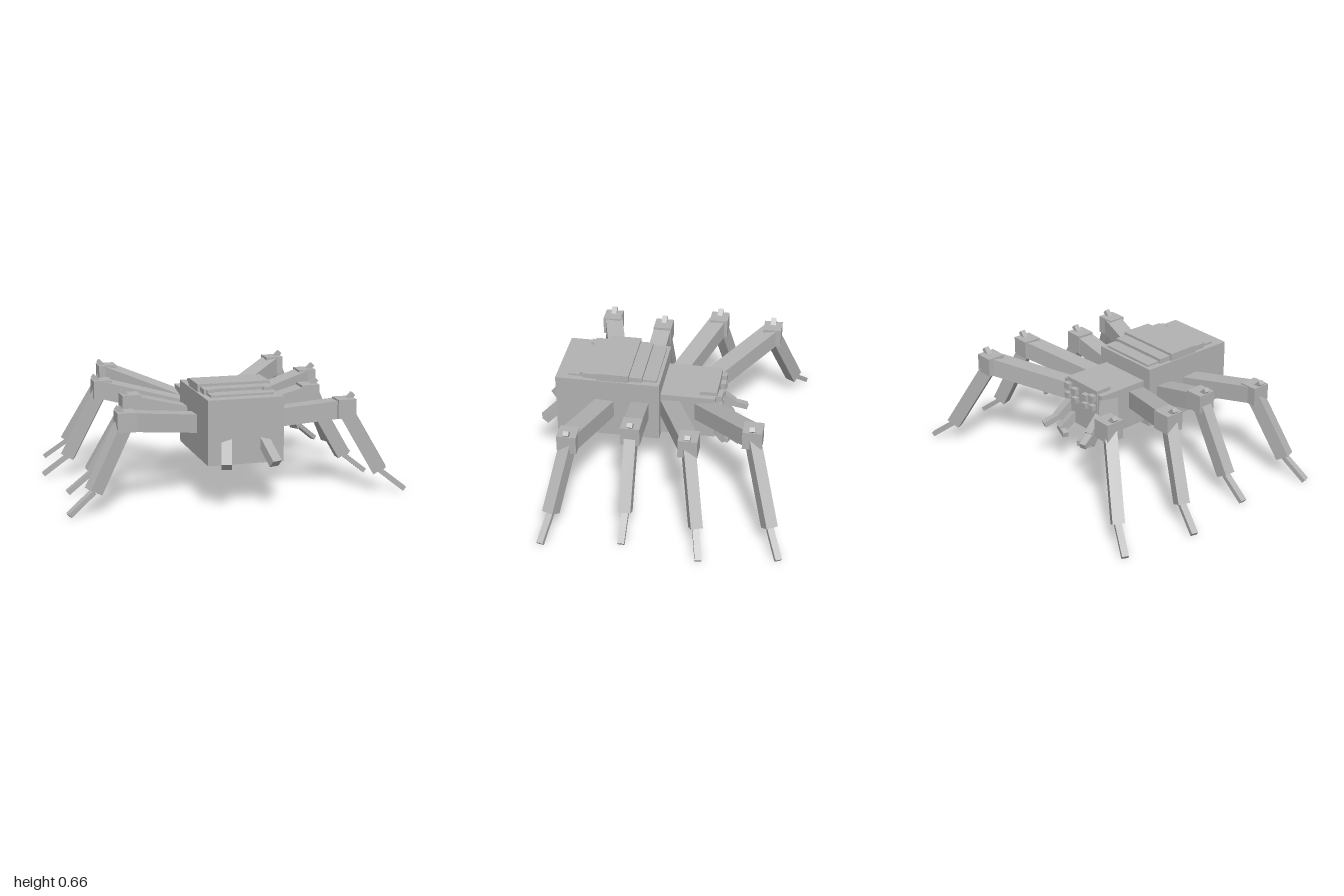
import * as THREE from 'three';

const grey = new THREE.MeshStandardMaterial({ color: 0xb2b2b2 });
grey.name = 'plainGrey';

// Axis-aligned box from its limits
function block(parent, name, [x0, x1], [y0, y1], [z0, z1]) {
  const m = new THREE.Mesh(new THREE.BoxGeometry(x1 - x0, y1 - y0, z1 - z0), grey);
  m.position.set((x0 + x1) / 2, (y0 + y1) / 2, (z0 + z1) / 2);
  m.name = name;
  parent.add(m);
  return m;
}

// Box running between two points, w wide and h thick
function beam(parent, name, a, b, w, h) {
  const from = new THREE.Vector3(...a), to = new THREE.Vector3(...b);
  const m = new THREE.Mesh(new THREE.BoxGeometry(w, h, from.distanceTo(to)), grey);
  m.position.copy(from).add(to).multiplyScalar(0.5);
  m.lookAt(to);
  m.name = name;
  parent.add(m);
  return m;
}

// hip, knee centre, ankle and toe of each leg on the +x side, rear to head
const LEGS = [
  { hip: [0.18, 0.44, 0.35], knee: [0.645, 0.505, 0.478], ankle: [0.845, 0.135, 0.55], toe: [0.99, 0.02, 0.583] },
  { hip: [0.18, 0.44, 0.153], knee: [0.545, 0.53, 0.137], ankle: [0.775, 0.135, 0.135], toe: [0.92, 0.02, 0.135] },
  { hip: [0.13, 0.44, -0.005], knee: [0.645, 0.555, -0.203], ankle: [0.845, 0.135, -0.275], toe: [0.99, 0.02, -0.312] },
  { hip: [0.13, 0.44, -0.2], knee: [0.545, 0.58, -0.547], ankle: [0.775, 0.135, -0.68], toe: [0.915, 0.02, -0.748] },
];

function addLeg(parent, leg, s) {
  const g = new THREE.Group();
  g.name = s > 0 ? 'leftLeg' : 'rightLeg';
  const side = ([x, y, z]) => [s * x, y, z];
  const [kx, ky, kz] = leg.knee;
  beam(g, 'upperLeg', side(leg.hip), side(leg.knee), 0.106, 0.105);
  const k = 0.055;
  block(g, 'knee', [s * kx - k, s * kx + k], [ky - k, ky + k], [kz - k, kz + k]);
  // tilted peg on the outer top edge of the knee
  const peg = block(g, 'kneePeg', [-0.026, 0.026], [-0.013, 0.013], [-0.016, 0.016]);
  peg.position.set(s * (kx + 0.034), ky + k + 0.006, kz);
  peg.rotation.z = s * Math.PI / 4;
  beam(g, 'lowerLeg', side([kx + 0.01, ky - 0.02, kz]), side(leg.ankle), 0.068, 0.082);
  beam(g, 'foot', side(leg.ankle), side(leg.toe), 0.038, 0.028);
  parent.add(g);
}

export function createModel() {
  const model = new THREE.Group();
  model.name = 'spider';

  // Abdomen with stepped plates on its back
  block(model, 'abdomen', [-0.22, 0.22], [0.258, 0.628], [0.037, 0.65]);
  block(model, 'lowerBackPlate', [-0.183, 0.183], [0.62, 0.64], [0.057, 0.578]);
  block(model, 'middleBackPlate', [-0.198, 0.198], [0.62, 0.658], [0.14, 0.49]);
  block(model, 'upperBackPlate', [-0.213, 0.213], [0.62, 0.673], [0.217, 0.41]);
  for (const s of [-1, 1]) {
    block(model, 'plateTab', [s * 0.165 - 0.02, s * 0.165 + 0.02], [0.62, 0.657], [0.48, 0.51]);
  }

  // Thin ribs under the abdomen
  for (let i = 0; i < 5; i++) {
    const z = 0.16 + i * 0.075;
    block(model, 'bellyRib', [-0.18, 0.18], [0.253, 0.262], [z, z + 0.04]);
  }

  // Front body and head cap
  block(model, 'thorax', [-0.17, 0.17], [0.275, 0.54], [-0.285, 0.05]);
  block(model, 'headCap', [-0.135, 0.135], [0.42, 0.562], [-0.292, -0.19]);

  for (const s of [-1, 1]) {
    // Eye clusters
    for (const [x, y, r] of [[0.05, 0.5, 0.02], [0.11, 0.515, 0.02], [0.045, 0.445, 0.017], [0.11, 0.455, 0.017]]) {
      block(model, 'eye', [s * x - r, s * x + r], [y - r, y + r], [-0.322, -0.285]);
    }

    // Feelers and inward-turned fangs
    beam(model, 'feelerBase', [s * 0.135, 0.4, -0.26], [s * 0.15, 0.31, -0.36], 0.05, 0.05);
    beam(model, 'feelerTip', [s * 0.148, 0.32, -0.33], [s * 0.183, 0.275, -0.44], 0.04, 0.035);
    beam(model, 'jaw', [s * 0.1, 0.33, -0.26], [s * 0.13, 0.24, -0.355], 0.06, 0.05);
    beam(model, 'fang', [s * 0.15, 0.245, -0.345], [s * 0.06, 0.228, -0.372], 0.035, 0.032);

    // Spinnerets at the abdomen's end
    beam(model, 'spinneret', [s * 0.1, 0.4, 0.61], [s * 0.142, 0.272, 0.748], 0.058, 0.05);

    for (const leg of LEGS) addLeg(model, leg, s);
  }
  return model;
}
